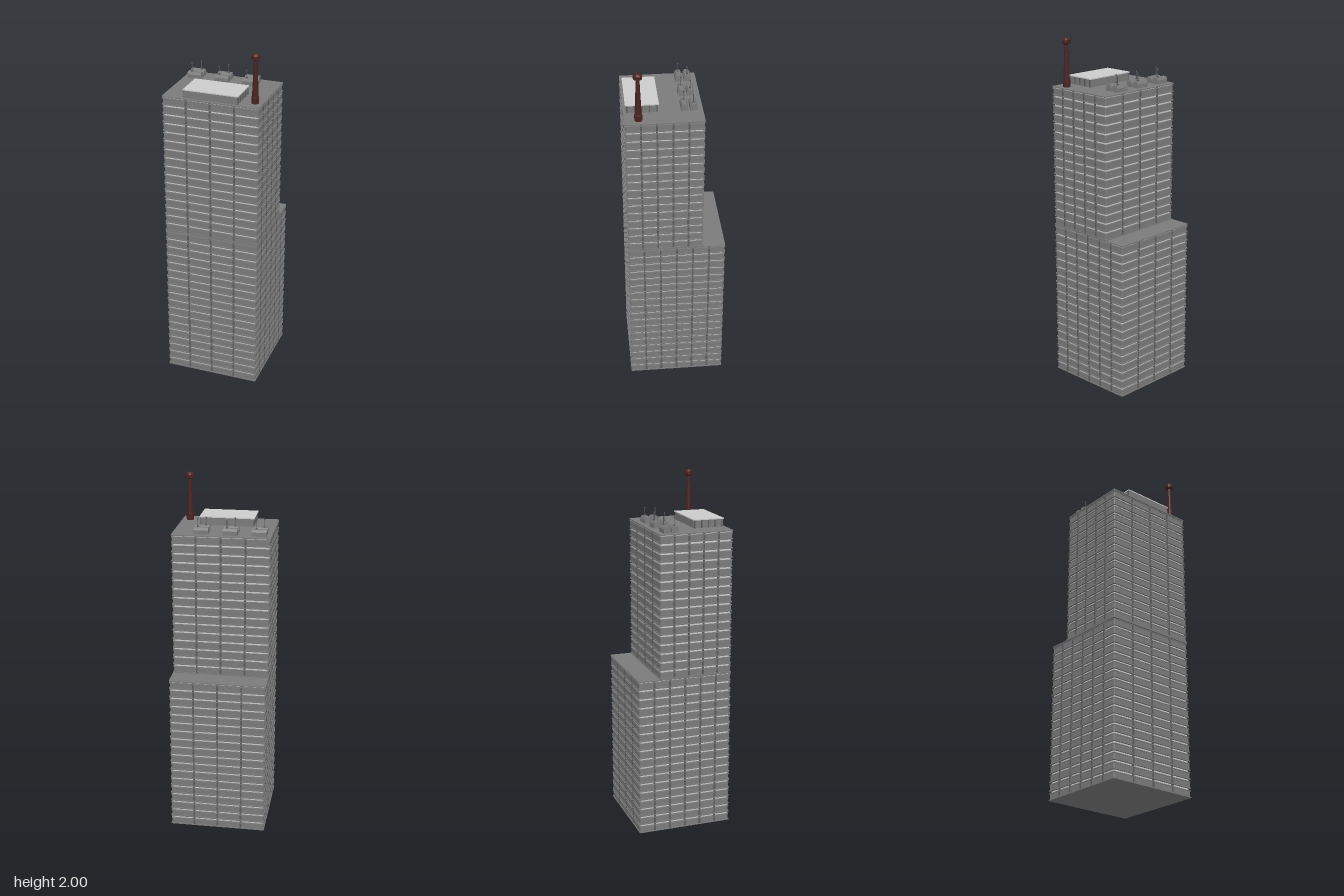
import * as THREE from 'three';

const grey = (c) => new THREE.MeshStandardMaterial({ color: c });
const wallMat = grey(0x7b7b7b), darkMat = grey(0x5c5c5c), paleMat = grey(0xcccccc), mastMat = grey(0x4a2222);
const PITCH = 0.0508, HALF = 0.275;

// Horizontal slab with rounded corners, spanning z0..z1 and y..y+h, shrunk by inset
function slab(name, z0, z1, y, h, inset, mat) {
  const x = HALF - inset, a = z0 + inset, b = z1 - inset, r = 0.008;
  const s = new THREE.Shape();
  s.moveTo(-x + r, -b);
  s.lineTo(x - r, -b);
  s.quadraticCurveTo(x, -b, x, -b + r);
  s.lineTo(x, -a - r);
  s.quadraticCurveTo(x, -a, x - r, -a);
  s.lineTo(-x + r, -a);
  s.quadraticCurveTo(-x, -a, -x, -a - r);
  s.lineTo(-x, -b + r);
  s.quadraticCurveTo(-x, -b, -x + r, -b);
  const g = new THREE.ExtrudeGeometry(s, { depth: h, bevelEnabled: false, curveSegments: 3 });
  g.rotateX(-Math.PI / 2);
  const m = new THREE.Mesh(g, mat);
  m.name = name;
  m.position.y = y;
  return m;
}

function box(name, w, h, d, x, y, z, mat) {
  const m = new THREE.Mesh(new THREE.BoxGeometry(w, h, d), mat);
  m.name = name;
  m.position.set(x, y + h / 2, z);
  return m;
}

// A stack of storeys: window strip core, spandrels, ledges and vertical ribs
function tower(name, z0, first, last, sideBays) {
  const g = new THREE.Group();
  g.name = name;
  const y0 = first * PITCH, h = (last - first) * PITCH, z1 = HALF;
  g.add(slab('windowCore', z0, z1, y0 + 0.002, h - 0.004, 0.009, paleMat));
  for (let i = first; i < last; i++) {
    const y = i * PITCH;
    g.add(slab('ledge', z0, z1, y, 0.006, 0, wallMat));
    g.add(slab('spandrel', z0, z1, y + 0.006, 0.029, 0.004, wallMat));
    g.add(slab('sill', z0, z1, y + 0.035, 0.005, 0.001, wallMat));
  }
  g.add(slab('roof', z0, z1, y0 + h - 0.006, 0.006, 0, wallMat));
  const depth = z1 - z0;
  for (let i = 1; i < 4; i++) {
    const x = -HALF + (2 * HALF * i) / 4;
    for (const z of [z0 + 0.008, z1 - 0.008]) g.add(box('rib', 0.01, h - 0.004, 0.012, x, y0 + 0.002, z, darkMat));
  }
  for (let i = 1; i < sideBays; i++) {
    const z = z0 + (depth * i) / sideBays;
    for (const s of [-1, 1]) g.add(box('rib', 0.012, h - 0.004, 0.01, s * (HALF - 0.008), y0 + 0.002, z, darkMat));
  }
  return g;
}

// Roof unit with a sloped top and a thin aerial
function roofUnit(x, z, aerialX, y) {
  const g = new THREE.Group();
  g.name = 'roofUnit';
  g.position.set(x, y, z);
  g.add(box('unitBase', 0.08, 0.022, 0.038, 0, 0, 0, wallMat));
  const s = new THREE.Shape([
    new THREE.Vector2(-0.019, 0), new THREE.Vector2(0.019, 0),
    new THREE.Vector2(0.011, 0.014), new THREE.Vector2(-0.011, 0.014),
  ]);
  const top = new THREE.Mesh(new THREE.ExtrudeGeometry(s, { depth: 0.08, bevelEnabled: false }), wallMat);
  top.name = 'unitTop';
  top.rotation.y = Math.PI / 2;
  top.position.set(-0.04, 0.022, 0);
  g.add(top);
  const rod = new THREE.Mesh(new THREE.CylinderGeometry(0.0018, 0.0018, 0.05, 6), darkMat);
  rod.name = 'aerial';
  rod.position.set(aerialX, 0.056, 0);
  g.add(rod);
  g.add(box('aerialFoot', 0.01, 0.006, 0.01, aerialX, 0.036, 0, darkMat));
  const tip = new THREE.Mesh(new THREE.CylinderGeometry(0.0035, 0.0035, 0.007, 8), darkMat);
  tip.name = 'aerialTip';
  tip.position.set(aerialX, 0.081, 0);
  g.add(tip);
  return g;
}

export function createModel() {
  const model = new THREE.Group();
  model.name = 'skyscraper';
  model.add(tower('lowerTower', -HALF, 0, 18, 6));
  model.add(tower('upperTower', -0.15, 18, 34, 5));
  const roofY = 34 * PITCH;

  // Plant room with pale roof and shallow side ribs
  const plant = new THREE.Group();
  plant.name = 'plantRoom';
  plant.add(box('plantWalls', 0.302, 0.043, 0.172, 0, roofY, 0.175, wallMat));
  plant.add(box('plantRoof', 0.312, 0.006, 0.18, 0, roofY + 0.043, 0.175, paleMat));
  for (let i = 0; i < 5; i++) {
    const z = 0.095 + i * 0.04;
    for (const s of [-1, 1]) plant.add(box('plantRib', 0.006, 0.043, 0.006, s * 0.152, roofY, z, darkMat));
  }
  model.add(plant);

  // Two rows of roof units
  for (const x of [-0.209, -0.048, 0.113]) {
    model.add(roofUnit(x, -0.1, 0.019, roofY));
    model.add(roofUnit(x, -0.052, -0.019, roofY));
  }

  // Tapered mast with a drum head
  const profile = [
    [0, 0], [0.021, 0], [0.021, 0.035], [0.018, 0.037], [0.01, 0.235], [0.016, 0.238],
    [0.024, 0.243], [0.024, 0.262], [0.014, 0.2728], [0, 0.2728],
  ].map(([r, y]) => new THREE.Vector2(r, y));
  const mastGeo = new THREE.LatheGeometry(profile, 12).toNonIndexed();
  mastGeo.computeVertexNormals();
  const mast = new THREE.Mesh(mastGeo, mastMat);
  mast.name = 'mast';
  mast.position.set(0.23, roofY, 0.2);
  model.add(mast);

  return model;
}
